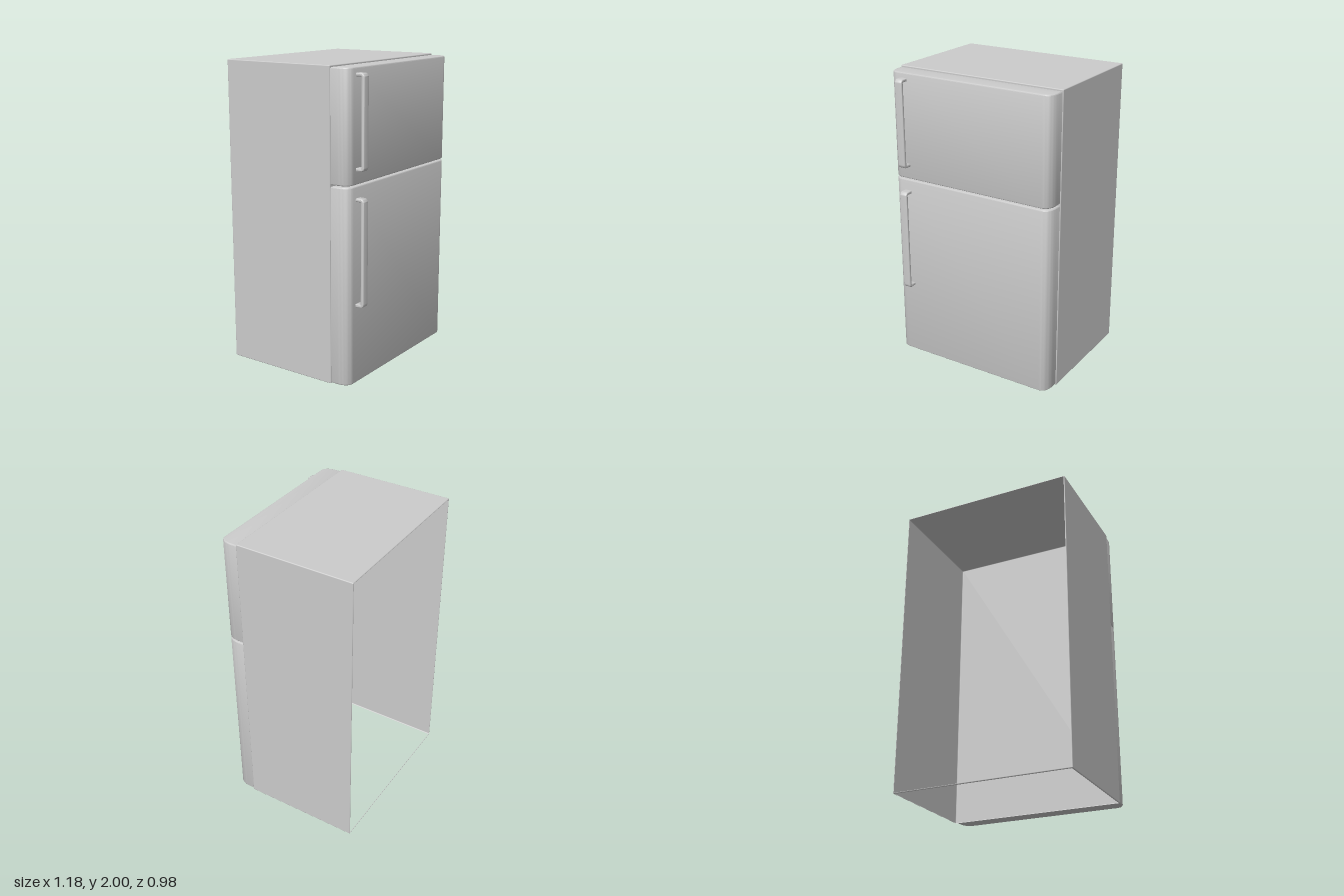
import * as THREE from 'three';
import { RoundedBoxGeometry } from 'three/addons/geometries/RoundedBoxGeometry.js';
import { toCreasedNormals } from 'three/addons/utils/BufferGeometryUtils.js';

const grey = new THREE.MeshStandardMaterial({ color: 0xcccccc });
const shellGrey = new THREE.MeshStandardMaterial({ color: 0xcccccc, side: THREE.DoubleSide });

function makePart(name, geometry, material = grey) {
  const mesh = new THREE.Mesh(geometry, material);
  mesh.name = name;
  return mesh;
}

// Cabinet: thin rounded shell, open at the back and underneath
function makeCabinet() {
  const w = 1.184, h = 1.995, d = 0.797;
  const box = new RoundedBoxGeometry(w, h, d, 2, 0.006);
  const p = box.attributes.position;
  const kept = [];
  for (let i = 0; i < p.count; i += 3) {
    const corners = [i, i + 1, i + 2];
    const isBack = corners.every((k) => p.getZ(k) < -d / 2 + 1e-5);
    const isFloor = corners.every((k) => p.getY(k) < -h / 2 + 1e-5);
    if (!isBack && !isFloor) kept.push(...corners);
  }
  box.setIndex(kept);
  const cabinet = makePart('cabinet', box.toNonIndexed(), shellGrey);
  cabinet.position.set(0, 2 - h / 2, -0.491 + d / 2);
  return cabinet;
}

// Door: plan outline with rounded front corners, extruded upwards
function makeDoor(name, bottom, top) {
  const b = 0.008, x = 0.587 - b, back = 0.307 + b, front = 0.433 - b;
  const rx = 0.055, rz = 0.08;
  // Shape y is -z, so that the extrusion turns upright
  const s = new THREE.Shape();
  s.moveTo(x, -back);
  s.lineTo(-x, -back);
  s.lineTo(-x, -(front - rz));
  s.bezierCurveTo(-x, -(front - rz * 0.35), -x + rx * 0.35, -front, -x + rx, -front);
  s.lineTo(x - rx, -front);
  s.bezierCurveTo(x - rx * 0.35, -front, x, -(front - rz * 0.35), x, -(front - rz));
  s.closePath();
  const g = new THREE.ExtrudeGeometry(s, {
    depth: top - bottom - 2 * b, bevelThickness: b, bevelSize: b, bevelSegments: 3, curveSegments: 12,
  });
  g.rotateX(-Math.PI / 2);
  g.translate(0, bottom + b, 0);
  return makePart(name, toCreasedNormals(g, 0.6));
}

// Handle: bracket profile seen from the side, extruded across the bar
function makeHandle(name, bottom, top) {
  const b = 0.007, width = 0.054, t = 0.021 - 2 * b;
  const z0 = 0.425, z1 = 0.49 - b, y0 = bottom + b, y1 = top - b, r = 0.02;
  // Shape x is -z, so that the extrusion runs along x
  const s = new THREE.Shape();
  s.moveTo(-z0, y0);
  s.lineTo(-z0, y0 + t);
  s.lineTo(-(z1 - r), y0 + t);
  s.quadraticCurveTo(-(z1 - t), y0 + t, -(z1 - t), y0 + r);
  s.lineTo(-(z1 - t), y1 - r);
  s.quadraticCurveTo(-(z1 - t), y1 - t, -(z1 - r), y1 - t);
  s.lineTo(-z0, y1 - t);
  s.lineTo(-z0, y1);
  s.lineTo(-(z1 - r), y1);
  s.quadraticCurveTo(-z1, y1, -z1, y1 - r);
  s.lineTo(-z1, y0 + r);
  s.quadraticCurveTo(-z1, y0, -(z1 - r), y0);
  s.closePath();
  const g = new THREE.ExtrudeGeometry(s, {
    depth: width - 2 * b, bevelThickness: b, bevelSize: b, bevelSegments: 3, curveSegments: 8,
  });
  g.rotateY(Math.PI / 2);
  g.translate(-0.504 + b, 0, 0);
  return makePart(name, toCreasedNormals(g, 0.8));
}

export function createModel() {
  const model = new THREE.Group();
  model.name = 'refrigerator';
  model.add(
    makeCabinet(),
    makeDoor('freezerDoor', 1.289, 1.99),
    makeDoor('fridgeDoor', 0.011, 1.28),
    makeHandle('freezerHandle', 1.372, 1.957),
    makeHandle('fridgeHandle', 0.516, 1.207),
  );
  return model;
}
